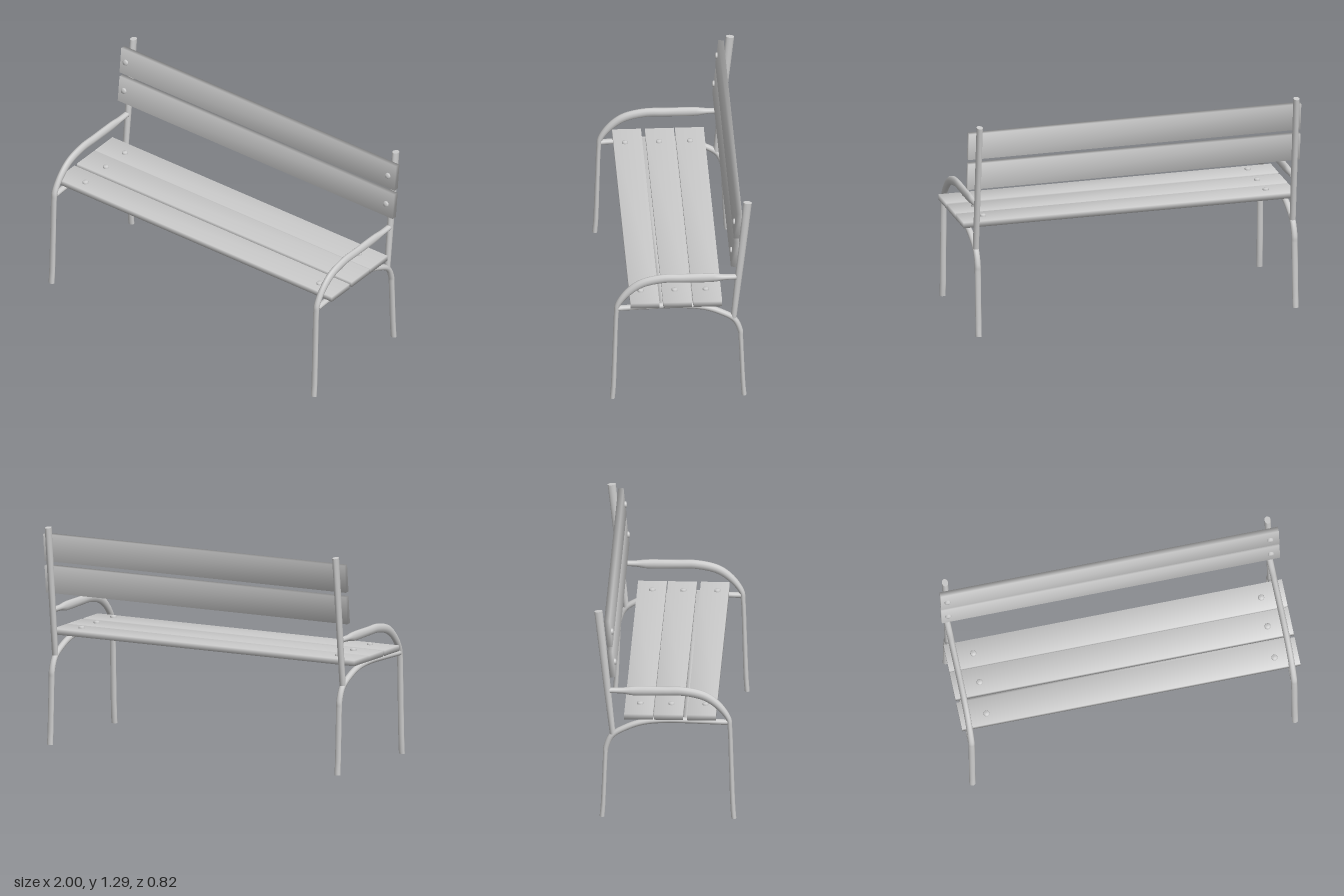
import * as THREE from 'three';
import { mergeVertices } from 'three/addons/utils/BufferGeometryUtils.js';

const grey = new THREE.MeshStandardMaterial({ color: 0xcccccc });
const SIDES = 10;
const TUBE_X = 0.0185;
const sideX = [-0.961, 0.947];
const seatBoltX = [-0.843, 0.86];

function mesh(name, geometry) {
  const m = new THREE.Mesh(geometry, grey);
  m.name = name;
  return m;
}

// Oval tube in the side plane; each point is [z, y, half width in that plane]
function ovalTube(points, steps) {
  const curve = new THREE.CatmullRomCurve3(points.map(([z, y, w]) => new THREE.Vector3(w, y, z)));
  const pos = [], index = [];
  const ring = (t) => {
    const p = curve.getPoint(t), d = curve.getTangent(t);
    const len = Math.hypot(d.y, d.z);
    for (let j = 0; j < SIDES; j++) {
      const a = (j / SIDES) * Math.PI * 2, s = Math.sin(a) * p.x;
      pos.push(Math.cos(a) * TUBE_X, Math.max(0, p.y + (s * d.z) / len), p.z - (s * d.y) / len);
    }
    return p;
  };
  for (let i = 0; i <= steps; i++) ring(i / steps);
  for (let i = 0; i < steps; i++) {
    for (let j = 0; j < SIDES; j++) {
      const k = (j + 1) % SIDES;
      const a = i * SIDES + j, b = i * SIDES + k, c = a + SIDES, d = b + SIDES;
      index.push(a, b, c, b, d, c);
    }
  }
  // Flat end caps with their own vertices
  for (const t of [0, 1]) {
    const start = pos.length / 3;
    const p = ring(t);
    pos.push(0, p.y, p.z);
    for (let j = 0; j < SIDES; j++) {
      const a = start + j, b = start + ((j + 1) % SIDES);
      if (t) index.push(start + SIDES, a, b);
      else index.push(start + SIDES, b, a);
    }
  }
  const g = new THREE.BufferGeometry();
  g.setAttribute('position', new THREE.Float32BufferAttribute(pos, 3));
  g.setIndex(index);
  g.computeVertexNormals();
  return g;
}

// Plank with soft shading across its edges
function plank(length, height, depth) {
  const g = new THREE.BoxGeometry(length, height, depth);
  g.deleteAttribute('normal');
  g.deleteAttribute('uv');
  const merged = mergeVertices(g);
  merged.computeVertexNormals();
  return merged;
}

const boltGeometry = new THREE.LatheGeometry(
  [[0.018, -0.004], [0.018, 0.007], [0.014, 0.012], [0, 0.014]].map(([x, y]) => new THREE.Vector2(x, y)), 14);

export function createModel() {
  const bench = new THREE.Group();
  bench.name = 'bench';

  // Side frames
  const armGeometry = ovalTube([
    [0.4, 0, 0.015], [0.394, 0.08, 0.015], [0.385, 0.35, 0.014], [0.377, 0.57, 0.014], [0.37, 0.62, 0.016],
    [0.314, 0.7, 0.022], [0.232, 0.76, 0.026], [0.106, 0.789, 0.027], [0, 0.789, 0.027],
    [-0.184, 0.788, 0.027], [-0.246, 0.789, 0.018], [-0.32, 0.79, 0.016]], 56);
  const supportGeometry = ovalTube([
    [0.365, 0.6, 0.016], [0.2, 0.606, 0.017], [0, 0.609, 0.018], [-0.13, 0.594, 0.018], [-0.22, 0.562, 0.018],
    [-0.307, 0.508, 0.017], [-0.342, 0.43, 0.016], [-0.345, 0.39, 0.014], [-0.358, 0.08, 0.014], [-0.364, 0, 0.015]], 48);
  const uprightGeometry = ovalTube([[-0.303, 0.52, 0.017], [-0.344, 0.9, 0.022], [-0.385, 1.285, 0.025]], 4);
  for (const x of sideX) {
    const frame = new THREE.Group();
    frame.name = 'sideFrame';
    frame.position.x = x;
    frame.add(mesh('frontLegAndArmrest', armGeometry));
    frame.add(mesh('seatSupportAndRearLeg', supportGeometry));
    frame.add(mesh('backUpright', uprightGeometry));
    bench.add(frame);
  }

  // Seat planks with bolts
  const seatGeometry = plank(2, 0.034, 0.167);
  for (const [z, boltZ] of [[0.213, 0.231], [0.023, 0.034], [-0.151, -0.147]]) {
    const slat = mesh('seatSlat', seatGeometry);
    slat.position.set(0, 0.642, z);
    bench.add(slat);
    for (const x of seatBoltX) {
      const bolt = mesh('seatBolt', boltGeometry);
      bolt.position.set(x, 0.659, boltZ);
      bench.add(bolt);
    }
  }

  // Thin rails under the gaps of the seat
  for (const z of [0.118, -0.064]) {
    const rail = mesh('seatRail', plank(1.9, 0.018, 0.026));
    rail.position.set(-0.007, 0.616, z);
    bench.add(rail);
  }

  // Leaning back planks with bolts
  const backGeometry = plank(2, 0.162, 0.032);
  for (const [y, z] of [[1.157, -0.326], [0.968, -0.309]]) {
    const board = new THREE.Group();
    board.name = 'backBoard';
    board.position.set(0, y, z);
    board.rotation.x = -0.106;
    board.add(mesh('backSlat', backGeometry));
    for (const x of sideX) {
      const bolt = mesh('backBolt', boltGeometry);
      bolt.rotation.x = Math.PI / 2;
      bolt.position.set(x, 0, 0.016);
      board.add(bolt);
    }
    bench.add(board);
  }
  return bench;
}
